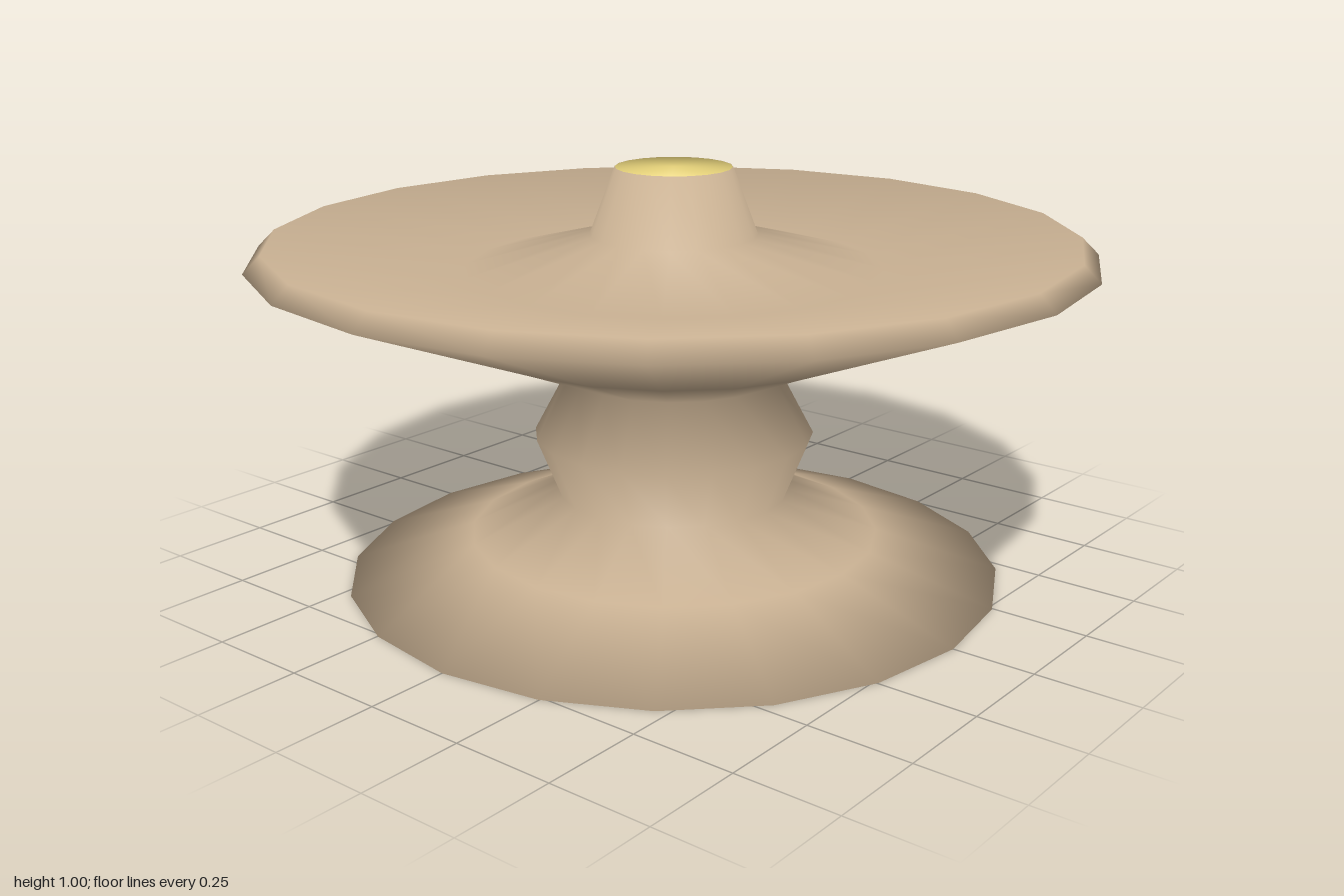
import * as THREE from 'three';

const SIDES = 20;

// Turned shape whose normals blend evenly across every profile edge
function turned(name, profile, material) {
  const pts = profile.map(([r, y]) => new THREE.Vector2(r, y));
  const geometry = new THREE.LatheGeometry(pts, SIDES);
  const edges = pts.slice(1).map((p, i) =>
    new THREE.Vector2(p.y - pts[i].y, pts[i].x - p.x).normalize());
  const blended = pts.map((p, j) => {
    const before = edges[Math.max(j - 1, 0)];
    const after = edges[Math.min(j, edges.length - 1)];
    return before.clone().add(after).normalize();
  });
  const normals = geometry.attributes.normal;
  for (let i = 0; i <= SIDES; i++) {
    const a = (i / SIDES) * Math.PI * 2;
    blended.forEach((n, j) =>
      normals.setXYZ(i * pts.length + j, n.x * Math.sin(a), n.y, n.x * Math.cos(a)));
  }
  const mesh = new THREE.Mesh(geometry, material);
  mesh.name = name;
  return mesh;
}

export function createModel() {
  const clay = new THREE.MeshStandardMaterial({ color: 0xc8b092, side: THREE.DoubleSide });
  clay.name = 'tan clay';
  const yellow = new THREE.MeshStandardMaterial({ color: 0xe6d27a });
  yellow.name = 'pale yellow';

  const group = new THREE.Group();
  group.name = 'pedestalDish';

  // Flared foot, knobbed stem, hollowed dish and tapered spout in one turning
  group.add(turned('pedestalBody', [
    [0, 0], [0.8, 0], [0.5, 0.1], [0.28, 0.2], [0.34, 0.35], [0.26, 0.5],
    [0.5, 0.6], [1, 0.8], [0.96, 0.84], [0.5, 0.76], [0.2, 0.84], [0.14, 1], [0, 0.994],
  ], clay));

  // Thin plug closing the spout, flush with its rim
  group.add(turned('spoutPlug', [[0.138, 0.992], [0.139, 1], [0, 1]], yellow));

  return group;
}
